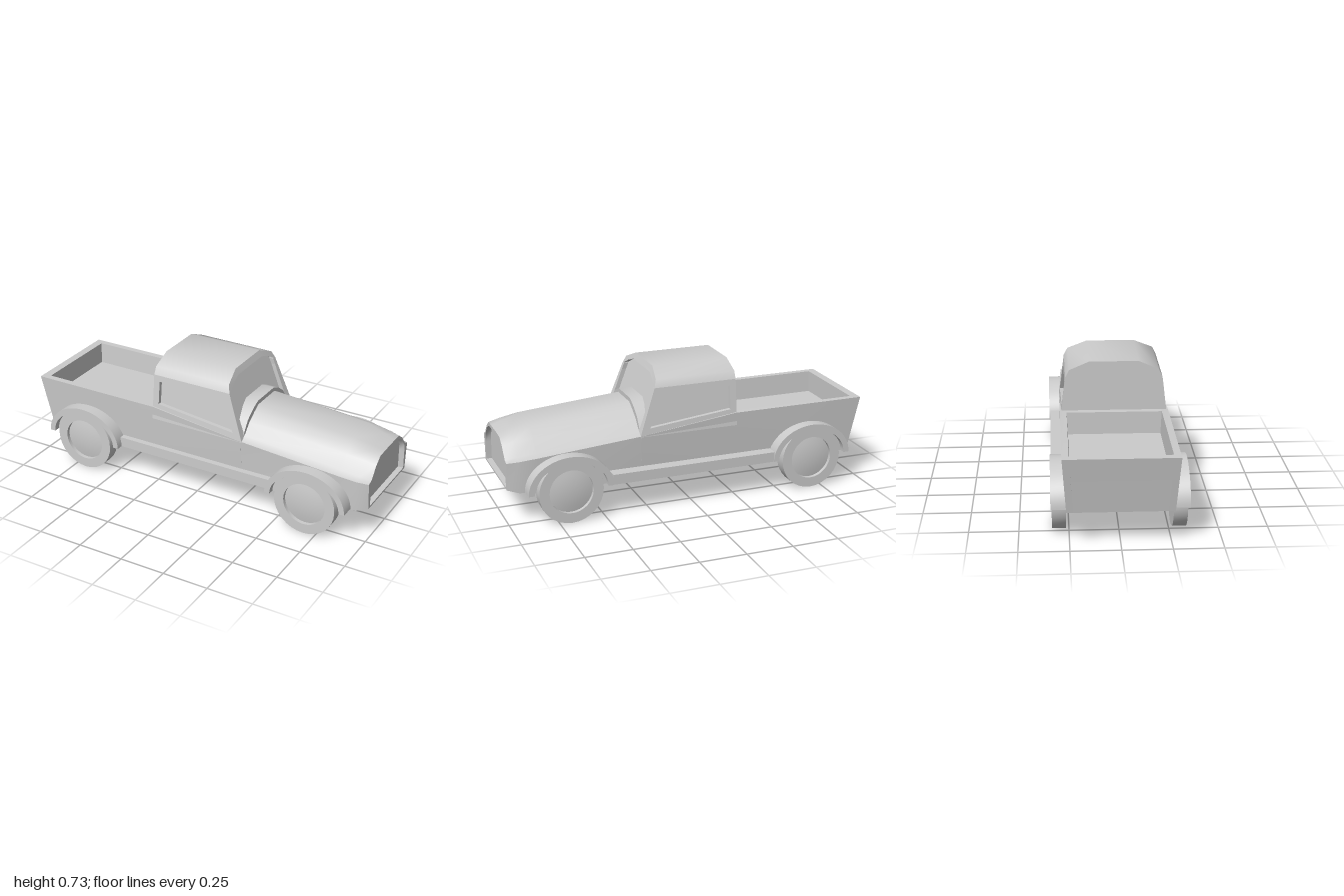
import * as THREE from 'three';
import { toCreasedNormals } from 'three/addons/utils/BufferGeometryUtils.js';

const material = new THREE.MeshStandardMaterial({ color: 0xcccccc, side: THREE.DoubleSide });

function part(name, geometry, parent) {
  const mesh = new THREE.Mesh(toCreasedNormals(geometry, 0.72), material);
  mesh.name = name;
  parent.add(mesh);
  return mesh;
}

// Mirrors half a cross-section of [z, y] points; x is a number or a rule of y
function ring(x, half) {
  const full = [...half, ...half.map(([z, y]) => [-z, y]).reverse()];
  return full.map(([z, y]) => [typeof x === 'function' ? x(y) : x, y, z]);
}

// Skins rings from back to front and closes both ends with fans
function loft(rings) {
  const pos = [], n = rings[0].length;
  const tri = (...p) => p.forEach(q => pos.push(...q));
  const centre = r => [0, 1, 2].map(k => r.reduce((s, p) => s + p[k], 0) / n);
  const first = rings[0], last = rings[rings.length - 1];
  const c0 = centre(first), c1 = centre(last);
  for (let j = 0; j < n; j++) {
    const k = (j + 1) % n;
    for (let i = 0; i < rings.length - 1; i++) {
      const a = rings[i], b = rings[i + 1];
      tri(a[j], b[j], b[k]);
      tri(a[j], b[k], a[k]);
    }
    tri(c0, first[j], first[k]);
    tri(c1, last[k], last[j]);
  }
  const g = new THREE.BufferGeometry();
  g.setAttribute('position', new THREE.Float32BufferAttribute(pos, 3));
  return g;
}

function moveZ(g, rule) {
  const p = g.attributes.position;
  for (let i = 0; i < p.count; i++) p.setZ(i, rule(p.getY(i), p.getZ(i)));
  return g;
}

const polygon = pts => new THREE.Shape(pts.map(p => new THREE.Vector2(...p)));

// Side-view outline extruded between two z values
function slab(shape, z0, z1) {
  const g = new THREE.ExtrudeGeometry(shape, { depth: z1 - z0, bevelEnabled: false, curveSegments: 20 });
  return g.translate(0, 0, z0);
}

// Half-elliptical band
function arch(rx, ry, innerX, innerY) {
  const s = new THREE.Shape();
  s.absellipse(0, 0, rx, ry, 0, Math.PI, false);
  s.lineTo(-innerX, 0);
  s.absellipse(0, 0, innerX, innerY, Math.PI, 0, true);
  s.closePath();
  return s;
}

const screenX = y => (y > 0.71 ? 0.168 : 0.18 + (0.71 - y) * 0.361);

export function createModel() {
  const model = new THREE.Group();
  model.name = 'pickupTruck';

  // Lower body and open bed, narrowing slightly towards the sill
  const body = new THREE.Group();
  body.name = 'body';
  model.add(body);
  const taper = (y, z) => z * (0.93 + 0.07 * Math.min(1, Math.max(0, (y - 0.175) / 0.23)));
  const bodyPart = (name, pts, z0, z1) => part(name, moveZ(slab(polygon(pts), z0, z1), taper), body);
  const side = [[-0.94, 0.175], [0.285, 0.175], [0.285, 0.405], [-0.25, 0.47], [-1, 0.47]];
  bodyPart('leftSide', side, 0.25, 0.285);
  bodyPart('rightSide', side, -0.285, -0.25);
  bodyPart('bedFloor', [[-0.94, 0.175], [0.285, 0.175], [0.285, 0.35], [-0.975, 0.35]], -0.25, 0.25);
  bodyPart('tailgate', [[-0.975, 0.35], [-0.955, 0.35], [-0.955, 0.47], [-1, 0.47]], -0.25, 0.25);
  bodyPart('bulkhead', [[-0.295, 0.35], [-0.24, 0.35], [-0.24, 0.47], [-0.295, 0.47]], -0.25, 0.25);

  // Nose and hood, ending in a recessed grille
  const grille = [[0.22, 0.2], [0.217, 0.3], [0.215, 0.34], [0.165, 0.4], [0.113, 0.425], [0.06, 0.425]];
  part('hood', loft([
    ring(0.285, [[0.265, 0.175], [0.284, 0.405], [0.24, 0.42], [0.19, 0.475], [0.13, 0.515], [0.09, 0.537]]),
    ring(0.84, [[0.265, 0.175], [0.272, 0.355], [0.235, 0.372], [0.18, 0.435], [0.13, 0.475], [0.09, 0.49]]),
    ring(0.94, [[0.262, 0.175], [0.268, 0.347], [0.23, 0.36], [0.175, 0.425], [0.125, 0.458], [0.07, 0.464]]),
    ring(1, [[0.237, 0.19], [0.25, 0.34], [0.22, 0.35], [0.168, 0.41], [0.122, 0.443], [0.06, 0.445]]),
    ring(1, grille),
    ring(0.97, grille),
  ]), model);
  const cowl = [[0.2, 0.3], [0.25, 0.42], [0.2, 0.493], [0.14, 0.535], [0.09, 0.557]];
  part('cowl', loft([ring(0.2, cowl), ring(0.282, cowl)]), model);

  // Cab core with a recessed windshield
  const cab = new THREE.Group();
  cab.name = 'cab';
  model.add(cab);
  const section = [[0.262, 0.4], [0.232, 0.65], [0.255, 0.65], [0.235, 0.69], [0.13, 0.735]];
  const glass = [[0.24, 0.435], [0.236, 0.6], [0.236, 0.655], [0.19, 0.68], [0.13, 0.702]];
  part('roofAndWindshield', loft([
    ring(-0.257, section),
    ring(screenX, section),
    ring(screenX, glass),
    ring(y => screenX(y) - 0.025, glass),
  ]), cab);

  // Door skins with window openings, leaning in towards the roof
  const door = polygon([[-0.257, 0.4], [screenX(0.4), 0.4], [screenX(0.65), 0.65], [-0.257, 0.65]]);
  door.holes.push(polygon([[-0.222, 0.49], [-0.222, 0.617], [0.155, 0.606], [0.235, 0.442]]));
  const lean = y => 0.262 - (y - 0.4) * 0.12;
  part('leftDoor', moveZ(slab(door, 0, 0.023), (y, z) => lean(y) + z), cab);
  part('rightDoor', moveZ(slab(door, -0.023, 0), (y, z) => z - lean(y)), cab);

  // Wheels with domed hubs, fenders and running boards on both sides
  const wheelProfile = [[0, -0.035], [0.172, -0.035], [0.172, 0.035], [0.118, 0.035],
    [0.118, 0.014], [0.08, 0.021], [0.04, 0.025], [0, 0.026]].map(p => new THREE.Vector2(...p));
  for (const s of [1, -1]) {
    const label = s > 0 ? 'left' : 'right';
    const sided = (shape, z0, z1) => (s > 0 ? slab(shape, z0, z1) : slab(shape, -z1, -z0));
    for (const [end, x] of [['Rear', -0.683], ['Front', 0.685]]) {
      const wheel = new THREE.LatheGeometry(wheelProfile, 32).rotateX(s * Math.PI / 2);
      part(label + end + 'Wheel', wheel.translate(x, 0.173, s * 0.3), model);
      const outer = sided(arch(0.228, 0.185, 0.197, 0.152), 0.25, 0.341);
      part(label + end + 'Fender', outer.translate(x, 0.18, 0), model);
      const liner = sided(arch(0.2, 0.155, 0.178, 0.135), 0.25, 0.305);
      part(label + end + 'FenderLiner', liner.translate(x, 0.18, 0), model);
    }
    const reach = s > 0 ? 0.302 : 0.336;
    const board = new THREE.BoxGeometry(0.92, 0.055, reach - 0.24);
    part(label + 'RunningBoard', board.translate(0, 0.207, s * (reach + 0.24) / 2), model);
  }
  return model;
}
